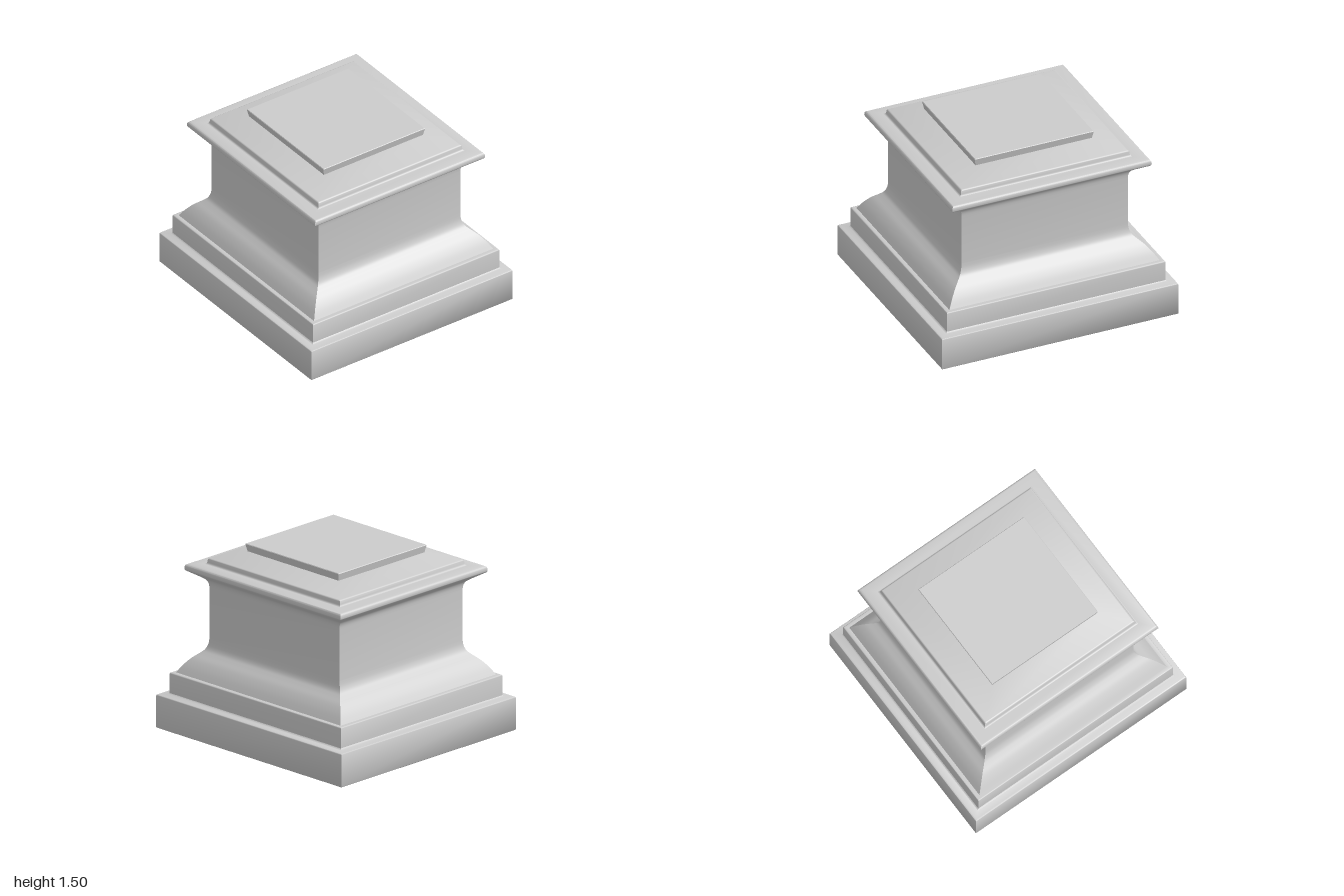
import * as THREE from 'three';
import { toCreasedNormals } from 'three/addons/utils/BufferGeometryUtils.js';

const DEPTH = 0.952; // depth relative to width
const CORNERS = [[1, 1], [1, -1], [-1, -1], [-1, 1]];

// Runs a [halfWidth, height] profile (bottom to top) around a rectangle with mitred corners.
function mitredMoulding(profile, crease) {
  const positions = [];
  const at = ([w, y], [sx, sz]) => [w * sx, y, w * sz * DEPTH];
  CORNERS.forEach((a, k) => {
    const b = CORNERS[(k + 1) % 4];
    for (let i = 0; i < profile.length - 1; i++) {
      const low = profile[i], high = profile[i + 1];
      if (low[0] > 0) positions.push(...at(low, a), ...at(low, b), ...at(high, b));
      if (high[0] > 0) positions.push(...at(low, a), ...at(high, b), ...at(high, a));
    }
  });
  const geometry = new THREE.BufferGeometry();
  geometry.setAttribute('position', new THREE.Float32BufferAttribute(positions, 3));
  return toCreasedNormals(geometry, crease);
}

// Smooth run of profile points through a few guide points.
function curve(points, steps) {
  return new THREE.SplineCurve(points.map(([x, y]) => new THREE.Vector2(x, y)))
    .getPoints(steps).map((p) => [p.x, p.y]);
}

export function createModel() {
  const model = new THREE.Group();
  model.name = 'pedestal';
  const material = new THREE.MeshStandardMaterial({ color: 0xcccccc, side: THREE.DoubleSide });

  const add = (name, profile, crease = 0.6) => {
    const mesh = new THREE.Mesh(mitredMoulding(profile, crease), material);
    mesh.name = name;
    model.add(mesh);
  };

  // Plinth with closed underside and softened edges
  add('plinth', [[0, 0], [0.993, 0], [1, 0.007], [1, 0.264], [0.997, 0.271], [0.99, 0.274],
    [0.935, 0.274], [0.925, 0.284]], 0.9);

  // Upper step of the base
  add('baseStep', [[0.925, 0.284], [0.925, 0.442], [0.922, 0.449], [0.915, 0.452], [0.89, 0.452]], 0.9);

  // Shaft with a flared foot and a hollow neck under the cornice
  add('shaft', [
    ...curve([[0.89, 0.452], [0.85, 0.515], [0.805, 0.57], [0.758, 0.612],
      [0.728, 0.643], [0.71, 0.685], [0.704, 0.73]], 24),
    ...curve([[0.704, 1.14], [0.708, 1.175], [0.722, 1.205], [0.75, 1.227], [0.815, 1.268]], 16),
  ]);

  // Rounded cornice nosing
  add('cornice', [
    ...curve([[0.815, 1.268], [0.838, 1.283], [0.844, 1.3], [0.838, 1.325], [0.82, 1.335]], 14),
    [0.73, 1.335],
  ]);

  // Sloping cap with a small lip
  add('cap', [
    ...curve([[0.73, 1.335], [0.72, 1.34], [0.715, 1.352]], 4),
    ...curve([[0.713, 1.37], [0.709, 1.379], [0.7, 1.384]], 4),
    [0.492, 1.44],
  ]);

  // Top block, widening slightly to its flat upper face
  add('topBlock', [[0.492, 1.44], [0.504, 1.498], [0.5, 1.503], [0, 1.503]]);

  return model;
}
